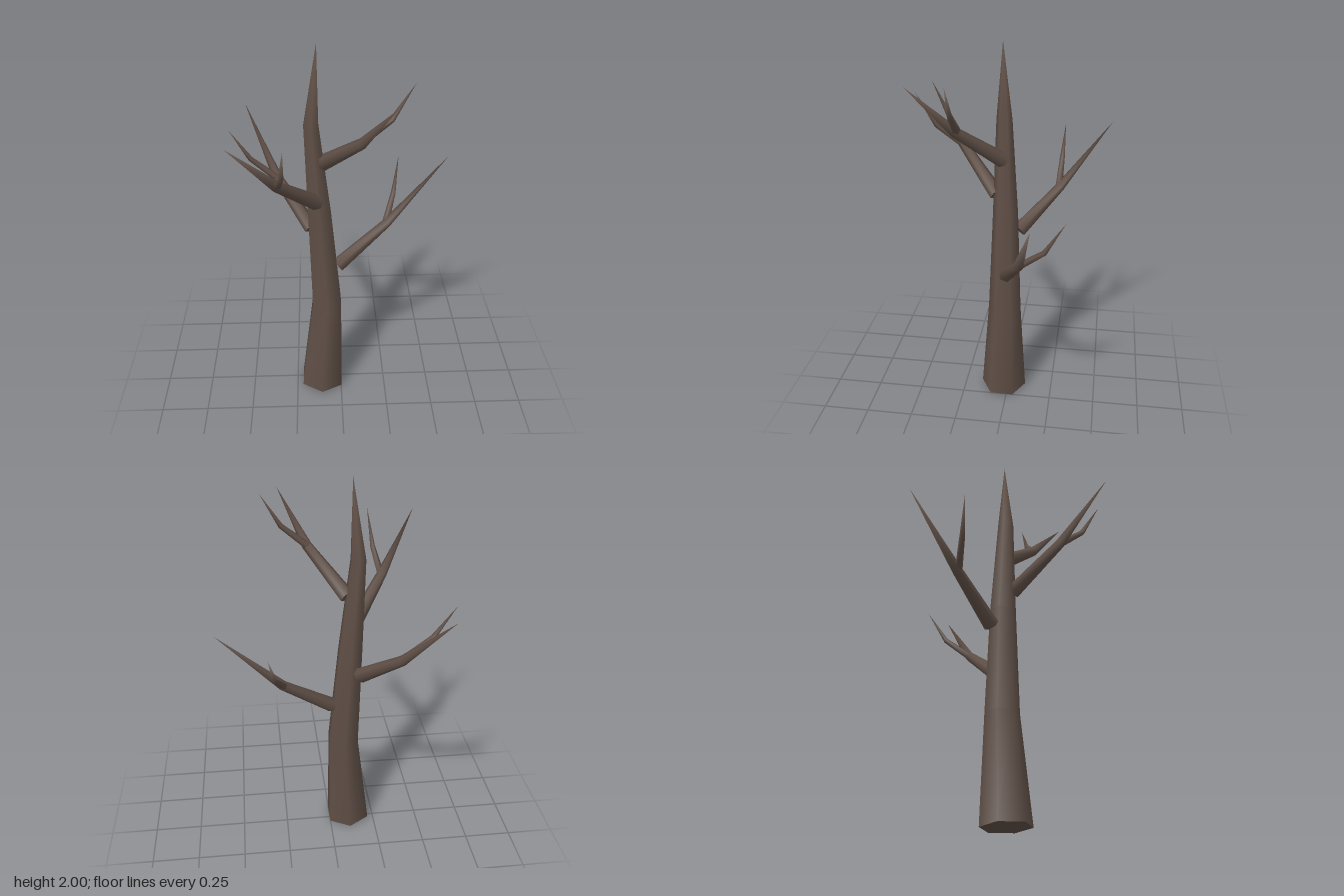
import * as THREE from 'three';

const bark = new THREE.MeshStandardMaterial({ color: 0x5f4f46 });
bark.name = 'bark';

// Tapered limb: rings at every point but the last, which is a sharp tip. The start is capped.
function limb(name, points, radii, sides, ref) {
  const pts = points.map((p) => new THREE.Vector3(...p));
  const pos = [], index = [];
  const last = pts.length - 1;
  const addRing = (i) => {
    const t = pts[i + 1].clone().sub(pts[i]).normalize();
    if (i > 0) t.add(pts[i].clone().sub(pts[i - 1]).normalize()).normalize();
    const u = ref.clone().addScaledVector(t, -ref.dot(t)).normalize();
    const v = t.clone().cross(u);
    for (let j = 0; j < sides; j++) {
      const a = (j / sides) * Math.PI * 2;
      const p = pts[i].clone()
        .addScaledVector(u, Math.cos(a) * radii[i])
        .addScaledVector(v, Math.sin(a) * radii[i]);
      pos.push(p.x, p.y, p.z);
    }
  };
  for (let i = 0; i < last; i++) addRing(i);
  const tip = pos.length / 3;
  pos.push(...points[last]);
  for (let i = 0; i < last; i++) {
    for (let j = 0; j < sides; j++) {
      const a = i * sides + j, b = i * sides + ((j + 1) % sides);
      if (i === last - 1) index.push(a, b, tip);
      else index.push(a, b, b + sides, a, b + sides, a + sides);
    }
  }
  // Flat end cap with its own vertices
  const cap = pos.length / 3;
  addRing(0);
  for (let j = 1; j < sides - 1; j++) index.push(cap, cap + j + 1, cap + j);

  const geo = new THREE.BufferGeometry();
  geo.setAttribute('position', new THREE.Float32BufferAttribute(pos, 3));
  geo.setIndex(index);
  geo.computeVertexNormals();
  const mesh = new THREE.Mesh(geo, bark);
  mesh.name = name;
  return mesh;
}

export function createModel() {
  const group = new THREE.Group();
  group.name = 'bareTree';
  const up = new THREE.Vector3(0, 1, 0);
  const front = new THREE.Vector3(0, 0, 1);

  // Six-sided trunk, slightly bent, ending in a point
  group.add(limb('trunk',
    [[-0.108, 0.01, 0.028], [-0.075, 0.56, 0.018], [-0.107, 1.1, 0.018], [-0.142, 1.6, 0.028], [-0.11, 2, 0.03]],
    [0.126, 0.088, 0.067, 0.041], 6, front));

  // Four branches, each with one forked twig
  const branches = [
    { name: 'lowLeft',
      main: [[-0.015, 0.785, 0.003], [0.25, 0.985, -0.095], [0.57, 1.33, -0.183]],
      twig: [[0.245, 0.985, -0.1], [0.293, 1.09, -0.225], [0.325, 1.265, -0.325]] },
    { name: 'backRight',
      main: [[-0.15, 0.99, -0.05], [-0.325, 1.18, -0.25], [-0.5, 1.505, -0.515]],
      twig: [[-0.32, 1.18, -0.245], [-0.465, 1.3, -0.25], [-0.57, 1.46, -0.257]] },
    { name: 'frontRight',
      main: [[-0.12, 1.205, 0.065], [-0.305, 1.41, 0.275], [-0.5, 1.695, 0.48]],
      twig: [[-0.3, 1.41, 0.275], [-0.275, 1.515, 0.41], [-0.258, 1.695, 0.515]] },
    { name: 'highLeft',
      main: [[-0.09, 1.405, 0.028], [0.09, 1.6, 0.235], [0.225, 1.845, 0.435]],
      twig: [[0.085, 1.6, 0.225], [0.22, 1.71, 0.228], [0.32, 1.877, 0.227]] },
  ];
  for (const b of branches) {
    group.add(limb(b.name + 'Branch', b.main, [0.04, 0.026], 6, up));
    group.add(limb(b.name + 'Twig', b.twig, [0.02, 0.014], 5, up));
  }
  return group;
}
